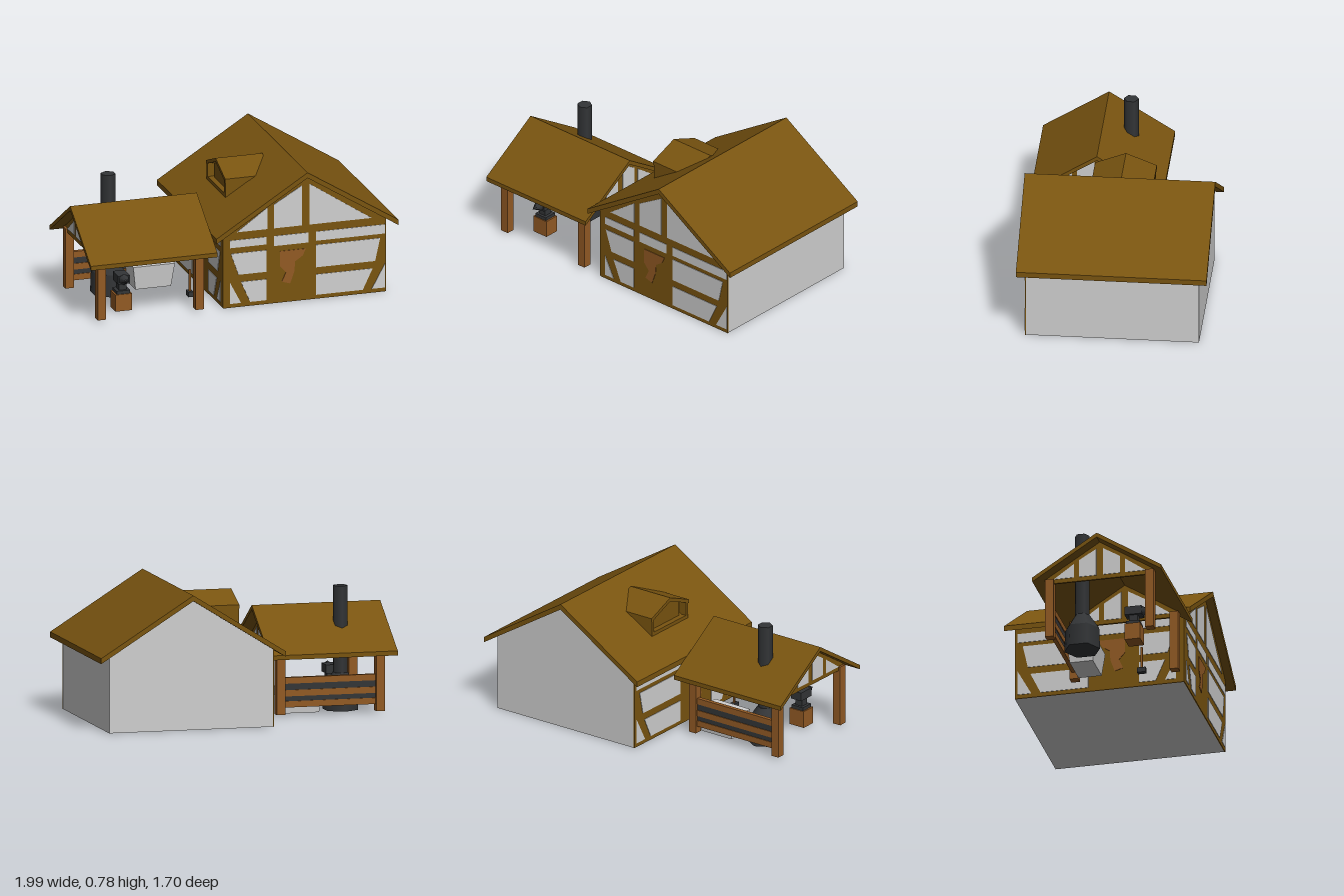
import * as THREE from 'three';

const mat = (name, color) => Object.assign(new THREE.MeshStandardMaterial({ color }), { name });

export function createModel() {
  const timber = mat('brown timber', 0x795410);
  const plaster = mat('pale plaster', 0xcfcfcf);
  const wood = mat('orange wood', 0x925a24);
  const iron = mat('dark iron', 0x333537);

  const root = new THREE.Group();
  root.name = 'smithy';
  const site = new THREE.Group();
  site.name = 'rotatedSite';
  site.position.set(0.29, 0, -0.145);
  site.rotation.y = 0.365;
  root.add(site);

  const add = (parent, name, geo, m, x = 0, y = 0, z = 0) => {
    const mesh = new THREE.Mesh(geo, m);
    mesh.name = name;
    mesh.position.set(x, y, z);
    parent.add(mesh);
    return mesh;
  };
  const box = (parent, name, m, w, h, d, x, y, z) =>
    add(parent, name, new THREE.BoxGeometry(w, h, d), m, x, y, z);
  const group = (name, parent, x = 0, y = 0, z = 0, turn = 0) => {
    const g = new THREE.Group();
    g.name = name;
    g.position.set(x, y, z);
    g.rotation.y = turn;
    parent.add(g);
    return g;
  };
  const prism = (points, depth) => new THREE.ExtrudeGeometry(
    new THREE.Shape(points.map(p => new THREE.Vector2(...p))), { depth, bevelEnabled: false });
  // Gabled roof section and the wall section beneath it
  const chevron = (half, eave, ridge, t) => [[-half, eave - t], [0, ridge - t], [half, eave - t],
    [half, eave], [0, ridge], [-half, eave]];
  const gable = (half, base, eave, peak) =>
    [[-half, base], [half, base], [half, eave], [0, peak], [-half, eave]];

  // House
  const house = group('house', site);
  add(house, 'houseWalls', prism(gable(0.485, 0, 0.447, 0.75), 0.99), plaster, 0, 0, -0.497);
  add(house, 'houseRoof', prism(chevron(0.546, 0.44, 0.782, 0.032), 1.092), timber, 0, 0, -0.546);

  // Plaster fields between the timbers
  const lowerPanels = [
    [[-0.45, 0.36], [-0.232, 0.36], [-0.232, 0.405], [-0.45, 0.405]],
    [[-0.186, 0.345], [0.02, 0.345], [0.02, 0.405], [-0.186, 0.405]],
    [[0.066, 0.35], [0.48, 0.35], [0.48, 0.405], [0.066, 0.405]],
    [[-0.40, 0.195], [-0.232, 0.195], [-0.232, 0.325], [-0.445, 0.325]],
    [[-0.33, 0.024], [-0.232, 0.024], [-0.232, 0.15], [-0.385, 0.15]],
    [[0.066, 0.19], [0.42, 0.19], [0.45, 0.325], [0.066, 0.325]],
    [[0.066, 0.024], [0.346, 0.024], [0.405, 0.147], [0.066, 0.147]],
    [[0.40, 0.024], [0.48, 0.024], [0.48, 0.17]],
    [[-0.45, 0.024], [-0.385, 0.024], [-0.45, 0.15]],
  ];
  const gablePanels = [
    [[-0.41, 0.452], [-0.226, 0.452], [-0.226, 0.582]],
    [[-0.186, 0.452], [-0.02, 0.452], [-0.02, 0.692], [-0.186, 0.596]],
    [[0.026, 0.452], [0.40, 0.452], [0.318, 0.505], [0.026, 0.698]],
  ];
  const patch = [[-0.15, 0.31], [0.005, 0.31], [-0.015, 0.27], [-0.06, 0.24], [-0.065, 0.18],
    [-0.09, 0.11], [-0.14, 0.125], [-0.115, 0.18], [-0.15, 0.22]];
  const timberWall = (name, parent, outline, panels, flip) => {
    add(parent, name, prism(outline, 0.006), timber);
    const side = pts => pts.map(([x, y]) => [x * flip, y]);
    panels.forEach(p => add(parent, 'plasterPanel', prism(side(p), 0.003), plaster, 0, 0, 0.006));
    add(parent, 'doorPatch', prism(side(patch), 0.003), wood, 0, 0, 0.006);
  };
  timberWall('frontTimber', group('frontWall', house, 0, 0, 0.493),
    gable(0.487, 0, 0.447, 0.75), [...lowerPanels, ...gablePanels], 1);
  timberWall('sideTimber', group('sideWall', house, -0.485, 0, 0, -Math.PI / 2),
    [[-0.497, 0], [0.497, 0], [0.497, 0.447], [-0.497, 0.447]], lowerPanels, -1);

  // Dormer, set back beneath its own small roof
  const dormer = group('dormer', site, -0.373, 0, 0, Math.PI / 2);
  add(dormer, 'dormerRoof', prism(chevron(0.177, 0.662, 0.732, 0.022), 0.28), timber);
  add(dormer, 'dormerBody', prism(gable(0.13, 0.54, 0.655, 0.71), 0.2), timber, 0, 0, 0.035);
  for (const s of [-1, 1])
    box(dormer, 'dormerCheek', timber, 0.022, 0.11, 0.2, s * 0.162, 0.6, 0.102);
  box(dormer, 'dormerSill', timber, 0.32, 0.025, 0.05, 0, 0.558, 0.027);

  // Open porch
  const porch = group('porch', site, -0.926, 0, 0.183);
  const porchRoof = add(porch, 'porchRoof',
    prism(chevron(0.378, 0.362, 0.602, 0.026), 0.76), timber, -0.38);
  porchRoof.rotation.y = Math.PI / 2;
  for (const x of [-1, 1]) {
    for (const z of [-1, 1])
      box(porch, 'post', wood, 0.05, 0.36, 0.05, x * 0.294, 0.19, z * 0.294);
    const end = group('porchGable', porch, x * 0.3, 0, 0, x * Math.PI / 2);
    add(end, 'gableTimber', prism(gable(0.315, 0.345, 0.376, 0.576), 0.012), timber, 0, 0, -0.006);
    for (const s of [-1, 1])
      for (const face of [-0.009, 0.006]) {
        add(end, 'innerPanel', prism([[s * 0.02, 0.37], [s * 0.12, 0.37], [s * 0.12, 0.475],
          [s * 0.02, 0.535]], 0.003), plaster, 0, 0, face);
        add(end, 'outerPanel', prism([[s * 0.15, 0.37], [s * 0.27, 0.37], [s * 0.15, 0.455]],
          0.003), plaster, 0, 0, face);
      }
  }

  // Back rail: boards over dark gaps
  box(porch, 'railGaps', iron, 0.55, 0.14, 0.016, 0, 0.14, -0.294);
  [0.205, 0.132, 0.068].forEach(y =>
    box(porch, 'railBoard', wood, 0.55, 0.036, 0.024, 0, y, -0.294));

  // Forge with hood and flue
  const forge = group('forge', site, -1.028, 0, 0.03);
  add(forge, 'forgeBase', new THREE.CylinderGeometry(0.1, 0.105, 0.13, 6), iron, 0, 0.07, 0);
  add(forge, 'forgeHood', new THREE.CylinderGeometry(0.045, 0.1, 0.085, 6), iron, 0, 0.177, 0);
  add(forge, 'flue', new THREE.CylinderGeometry(0.043, 0.043, 0.52, 6), iron, 0, 0.46, 0);

  // Water trough, narrower at the bottom
  const troughGeo = new THREE.BoxGeometry(0.25, 0.14, 0.17);
  const p = troughGeo.attributes.position;
  for (let i = 0; i < p.count; i++)
    if (p.getY(i) < 0) p.setXYZ(i, p.getX(i) * 0.85, p.getY(i), p.getZ(i) * 0.8);
  troughGeo.computeVertexNormals();
  add(site, 'trough', troughGeo, plaster, -0.765, 0.08, -0.014);

  // Anvil on its block
  const anvil = group('anvil', site, -1.051, 0, 0.342);
  box(anvil, 'anvilBlock', wood, 0.1, 0.1, 0.09, 0, 0.06, 0);
  box(anvil, 'anvilFoot', iron, 0.08, 0.02, 0.08, 0, 0.12, 0);
  box(anvil, 'anvilWaist', iron, 0.045, 0.05, 0.05, 0, 0.15, 0);
  box(anvil, 'anvilTop', iron, 0.07, 0.05, 0.1, 0, 0.198, 0);
  const horn = add(anvil, 'anvilHorn', new THREE.ConeGeometry(0.033, 0.06, 6), iron, 0, 0.2, 0.078);
  horn.rotation.x = Math.PI / 2;

  // Hammer standing by the wall
  box(site, 'hammerHead', iron, 0.03, 0.03, 0.05, -0.62, 0.035, 0.28);
  box(site, 'hammerHandle', wood, 0.01, 0.14, 0.01, -0.62, 0.11, 0.28);

  return root;
}
